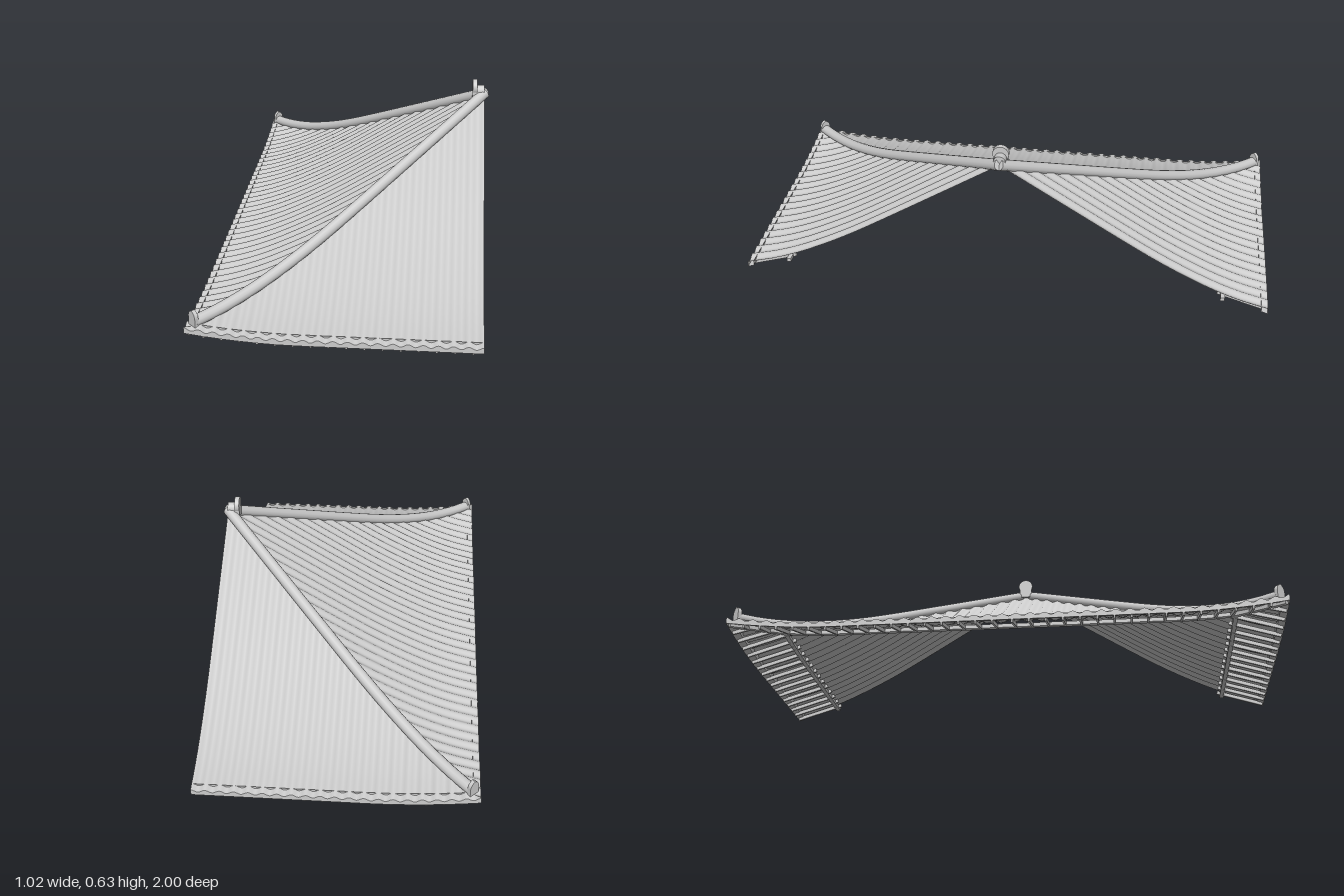
import * as THREE from 'three';

const APEX_X = 0.495, PITCH = 0.05, WAVE = 0.005, PURLIN = 0.83;
const mat = new THREE.MeshStandardMaterial({ color: 0xcccccc, side: THREE.DoubleSide });

// Slope profile: run from the apex (0) to the eave (1), and its height
const profile = [[0, 0.565], [0.25, 0.408], [0.5, 0.252], [0.6, 0.193], [0.7, 0.14], [0.8, 0.093], [0.9, 0.056], [1, 0.03]];
function slopeHeight(d) {
  let i = 0;
  while (i < profile.length - 2 && d > profile[i + 1][0]) i++;
  const tangent = (k) => {
    const p = profile[Math.max(k - 1, 0)], q = profile[Math.min(k + 1, profile.length - 1)];
    return (q[1] - p[1]) / (q[0] - p[0]);
  };
  const [x0, y0] = profile[i], [x1, y1] = profile[i + 1];
  const w = x1 - x0, t = (d - x0) / w, t2 = t * t, t3 = t2 * t;
  return (2 * t3 - 3 * t2 + 1) * y0 + (t3 - 2 * t2 + t) * w * tangent(i)
    + (3 * t2 - 2 * t3) * y1 + (t3 - t2) * w * tangent(i + 1);
}

// The eaves sweep upward towards the corners
function height(d, a) {
  const s = Math.max(0, 1 - (1 - Math.abs(a)) / 0.4);
  return slopeHeight(d) + 0.03 * s * s;
}
const wave = (a) => WAVE * Math.cos((2 * Math.PI * a) / PITCH);

// Three slopes: d runs down the slope, a runs along the eave
const slopes = [
  { name: 'end', from: -1, to: 1, place: (d, a, y) => new THREE.Vector3(APEX_X - d, y, a) },
  { name: 'front', from: 0, to: 1, place: (d, a, y) => new THREE.Vector3(APEX_X - a, y, d) },
  { name: 'back', from: 0, to: 1, place: (d, a, y) => new THREE.Vector3(APEX_X - a, y, -d) },
];

function grid(cols, rows, point) {
  const pos = [], index = [];
  for (let i = 0; i <= cols; i++) {
    for (let j = 0; j <= rows; j++) {
      pos.push(...point(i, j).toArray());
      if (i < cols && j < rows) {
        const k = i * (rows + 1) + j, n = k + rows + 1;
        index.push(k, n, k + 1, n, n + 1, k + 1);
      }
    }
  }
  const g = new THREE.BufferGeometry();
  g.setAttribute('position', new THREE.Float32BufferAttribute(pos, 3));
  g.setIndex(index);
  g.computeVertexNormals();
  return g;
}

function add(parent, name, geometry) {
  const mesh = new THREE.Mesh(geometry, mat);
  mesh.name = name;
  parent.add(mesh);
  return mesh;
}

// Square bar between two points
function bar(parent, name, p, q, w, h) {
  const mesh = add(parent, name, new THREE.BoxGeometry(w, h, p.distanceTo(q)));
  mesh.position.copy(p).lerp(q, 0.5);
  mesh.lookAt(q);
  return mesh;
}

function buildSlope({ name, from, to, place }) {
  const group = new THREE.Group();
  group.name = name + 'Slope';
  const cols = Math.round((to - from) / PITCH) * 8;
  const along = (i) => from + ((to - from) * i) / cols;

  // Corrugated tile sheet
  add(group, 'tiles', grid(cols, 20, (i, j) => {
    const a = along(i), d = Math.abs(a) + (1 - Math.abs(a)) * (j / 20);
    return place(d, a, height(d, a) + wave(a));
  }));

  // Eave board under the scalloped tile ends
  const edge = [[1, 0, 1], [1, -0.018, 0], [0.975, -0.016, 0], [0.975, 0.004, 0]];
  for (let r = 0; r < 3; r++) {
    add(group, 'eaveBoard', grid(cols, 1, (i, j) => {
      const [d, drop, wavy] = edge[r + j];
      const a = THREE.MathUtils.clamp(along(i), -d, d);
      return place(d, a, height(d, a) + drop + wavy * wave(a));
    }));
  }

  // Rafters under the overhang
  const rafter = (a) => {
    const start = Math.max(PURLIN - 0.02, Math.abs(a));
    const pt = (d) => place(d, a, height(d, a) - 0.022);
    bar(group, 'rafter', pt(start), pt(0.995), 0.008, 0.014);
  };
  for (let a = 0.035; a < 0.96; a += 0.06) {
    rafter(a);
    if (from < 0) rafter(-a);
  }

  // Purlin carrying the rafters
  const start = Math.max(from, -PURLIN), n = from < 0 ? 16 : 8;
  const purlinPoint = (i) => {
    const a = start + ((PURLIN - start) * i) / n;
    return place(PURLIN, a, height(PURLIN, a) - 0.02);
  };
  for (let i = 0; i < n; i++) bar(group, 'purlin', purlinPoint(i), purlinPoint(i + 1), 0.016, 0.014);
  return group;
}

function buildHip(side) {
  const group = new THREE.Group();
  group.name = side > 0 ? 'frontHip' : 'backHip';
  const at = (d, lift) => new THREE.Vector3(APEX_X - d, height(d, d) + lift, side * d);

  // Round ridge roll following the hip
  const points = [];
  for (let i = 0; i <= 16; i++) points.push(at((0.97 * i) / 16, 0.008));
  const curve = new THREE.CatmullRomCurve3(points);
  add(group, 'hipRidge', new THREE.TubeGeometry(curve, 40, 0.021, 12));
  for (const t of [0, 1]) {
    const cap = add(group, 'hipRidgeCap', new THREE.CircleGeometry(0.021, 12));
    cap.position.copy(curve.getPoint(t));
    cap.lookAt(cap.position.clone().add(curve.getTangent(t)));
  }

  // Arched end tile at the corner
  const arch = new THREE.Shape();
  arch.moveTo(-0.02, 0);
  arch.lineTo(0.02, 0);
  arch.lineTo(0.02, 0.034);
  arch.quadraticCurveTo(0.018, 0.05, 0, 0.058);
  arch.quadraticCurveTo(-0.018, 0.05, -0.02, 0.034);
  const plate = add(group, 'endTile', new THREE.ExtrudeGeometry(arch, { depth: 0.014, bevelEnabled: false, curveSegments: 6 }));
  plate.position.copy(at(0.966, -0.006));
  plate.rotation.y = Math.atan2(-1, side);

  // Corner rafter under the hip
  bar(group, 'hipRafter', at(PURLIN - 0.02, -0.022), at(0.99, -0.022), 0.016, 0.016);
  return group;
}

export function createModel() {
  const roof = new THREE.Group();
  roof.name = 'hipRoofEnd';
  slopes.forEach((s) => roof.add(buildSlope(s)));
  roof.add(buildHip(1), buildHip(-1));

  // Apex: short ridge stub with a round end tile
  const finial = new THREE.Group();
  finial.name = 'apexFinial';
  const disc = add(finial, 'roundEndTile', new THREE.CylinderGeometry(0.03, 0.03, 0.018, 24));
  disc.position.set(0.456, 0.598, 0);
  const neck = add(finial, 'roundEndTileBase', new THREE.BoxGeometry(0.018, 0.05, 0.05));
  neck.position.set(0.456, 0.572, 0);
  const stub = add(finial, 'ridgeStub', new THREE.CylinderGeometry(0.022, 0.022, 0.03, 16));
  stub.position.set(0.478, 0.583, 0);
  disc.rotation.z = stub.rotation.z = Math.PI / 2;
  roof.add(finial);
  return roof;
}
